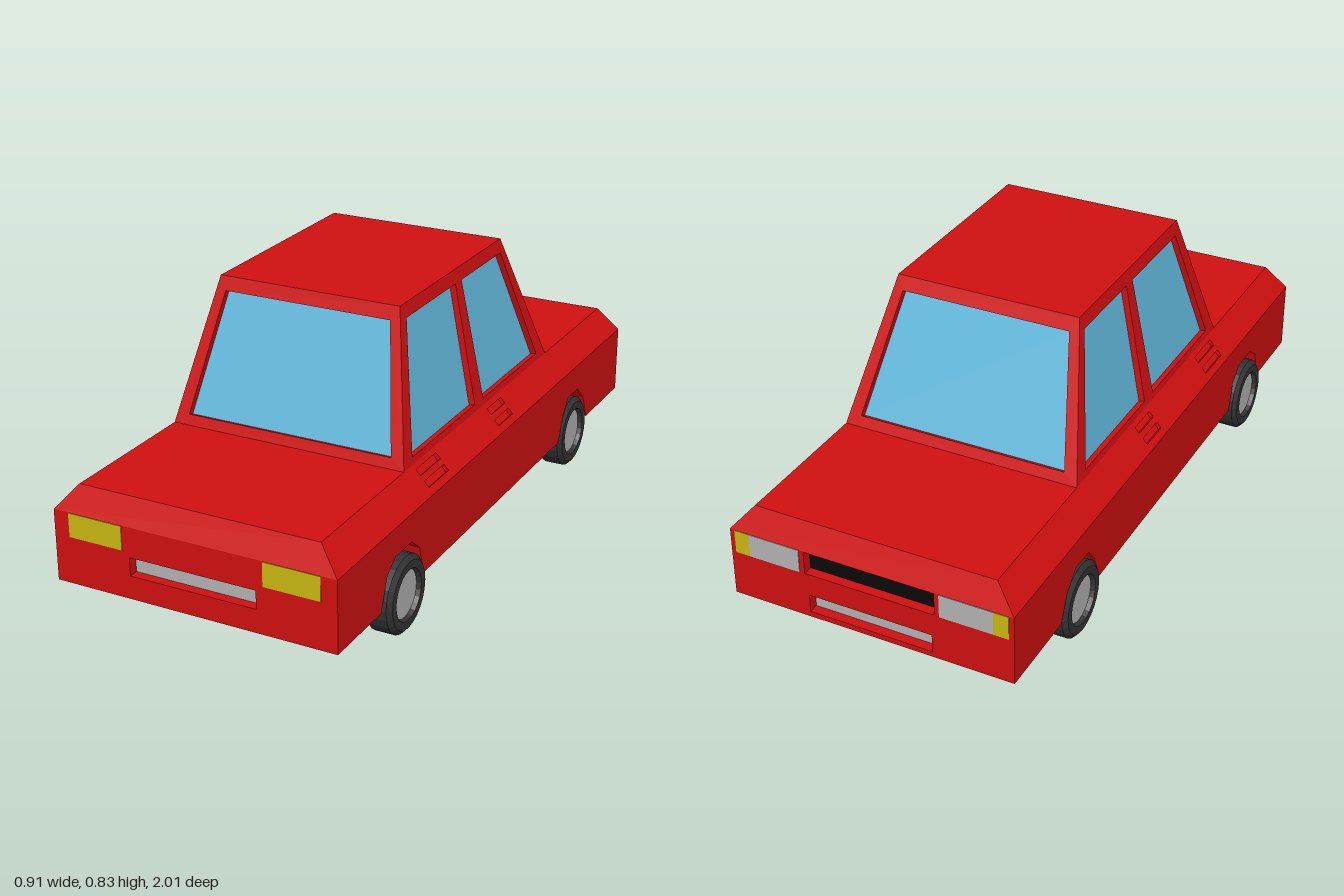
import * as THREE from 'three';

const paint = (color, flat = false) => new THREE.MeshStandardMaterial({ color, flatShading: flat });
const red = paint(0xd01010), blue = paint(0x62b8dc), black = paint(0x0a0a0a);
const yellow = paint(0xc8b810), grey = paint(0xb2b2b2), rubber = paint(0x333333, true);

// Half widths and heights of the body sections
const W = 0.435, SILL = 0.12, BELT = 0.335, DECK = 0.41, ROOF = 0.83;
const deckX = 0.37, deckZ = 0.965, roofX = 0.285;

const v = (x, y, z) => new THREE.Vector3(x, y, z);
const mix = (a, b, t) => a + (b - a) * t;

// Flat slab from corners that run anticlockwise seen from outside; each
// opening is cut through it and closed at the back with its own material
function panel(name, corners, depth = 0.01, openings = []) {
  const group = new THREE.Group();
  group.name = name;
  const o = corners[0];
  const u = corners[1].clone().sub(o).normalize();
  const n = u.clone().cross(corners[2].clone().sub(o)).normalize();
  const w = n.clone().cross(u);
  const flat = (p) => {
    const d = p.clone().sub(o);
    return new THREE.Vector2(d.dot(u), d.dot(w));
  };
  const shape = new THREE.Shape(corners.map(flat));
  for (const op of openings) shape.holes.push(new THREE.Path(op.points.map(flat)));
  const slab = new THREE.ExtrudeGeometry(shape, { depth, bevelEnabled: false });
  slab.translate(0, 0, -depth);
  const skin = new THREE.Mesh(slab, red);
  skin.name = name + 'Skin';
  group.add(skin);
  for (const op of openings) {
    const back = new THREE.ShapeGeometry(new THREE.Shape(op.points.map(flat)));
    back.translate(0, 0, 0.001 - depth);
    const mesh = new THREE.Mesh(back, op.material);
    mesh.name = op.name;
    group.add(mesh);
  }
  group.applyMatrix4(new THREE.Matrix4().makeBasis(u, w, n).setPosition(o));
  return group;
}

// Mirrors a corner loop to the other side and keeps it anticlockwise
const side = (s, pts) => (s > 0 ? pts : pts.map((p) => v(-p.x, p.y, p.z)).reverse());

// Upright rectangle on the front (s = 1) or rear (s = -1) end
const endRect = (s, x0, x1, y0, y1) =>
  [v(s * x0, y0, s), v(s * x1, y0, s), v(s * x1, y1, s), v(s * x0, y1, s)];

function box(name, material, x0, x1, y0, y1, z0, z1) {
  const mesh = new THREE.Mesh(new THREE.BoxGeometry(x1 - x0, y1 - y0, z1 - z0), material);
  mesh.position.set((x0 + x1) / 2, (y0 + y1) / 2, (z0 + z1) / 2);
  mesh.name = name;
  return mesh;
}

// Lower body: side profile with wheel channels, extruded across the width
function lowerBody() {
  const profile = [
    [-0.97, SILL], [-0.725, SILL], [-0.69, 0.2], [-0.635, 0.25], [-0.555, 0.25], [-0.515, 0.2], [-0.48, SILL],
    [0.505, SILL], [0.53, 0.21], [0.58, 0.25], [0.675, 0.25], [0.725, 0.215], [0.76, SILL],
    [0.97, SILL], [0.97, BELT], [-0.97, BELT],
  ];
  const shape = new THREE.Shape(profile.map(([z, y]) => new THREE.Vector2(-z, y)));
  const geo = new THREE.ExtrudeGeometry(shape, { depth: 2 * W, bevelEnabled: false });
  geo.translate(0, 0, -W).rotateY(Math.PI / 2);
  const mesh = new THREE.Mesh(geo, red);
  mesh.name = 'lowerBody';
  return mesh;
}

// Sloping shoulders, with two pairs of vent slots on each side, and the deck
function shoulders(car) {
  const slopeX = (y) => mix(W, deckX, (y - BELT) / (DECK - BELT));
  for (const s of [1, -1]) {
    const vents = [];
    for (const [z0, z1] of [[0.445, 0.32], [-0.03, -0.13]]) {
      for (const y of [0.352, 0.382]) {
        const a = slopeX(y), b = slopeX(y + 0.016);
        vents.push({
          name: 'ventSlot', material: red,
          points: side(s, [v(a, y, z0), v(a, y, z1), v(b, y + 0.016, z1), v(b, y + 0.016, z0)]),
        });
      }
    }
    car.add(panel('sideShoulder', side(s, [
      v(W, BELT, 1), v(W, BELT, -1), v(deckX, DECK, -deckZ), v(deckX, DECK, deckZ),
    ]), 0.012, vents));
    car.add(panel(s > 0 ? 'frontShoulder' : 'rearShoulder', [
      v(-s * W, BELT, s), v(s * W, BELT, s), v(s * deckX, DECK, s * deckZ), v(-s * deckX, DECK, s * deckZ),
    ]));
  }
  car.add(panel('deck', [
    v(-deckX, DECK, deckZ), v(deckX, DECK, deckZ), v(deckX, DECK, -deckZ), v(-deckX, DECK, -deckZ),
  ]));
}

// Cabin: four leaning walls with recessed glass, and the roof
function cabin(car) {
  const roofZ = { 1: 0.36, '-1': -0.315 };
  const rise = (y) => (y - DECK) / (ROOF - DECK);
  const wallX = (y) => mix(deckX, roofX, rise(y));
  const y0 = 0.43, y1 = 0.79;
  for (const s of [1, -1]) {
    const wallZ = (y) => mix(s * 0.5, roofZ[s], rise(y));
    const g0 = 0.44;
    car.add(panel(s > 0 ? 'windscreenFrame' : 'rearWindowFrame', [
      v(-s * deckX, DECK, s * 0.5), v(s * deckX, DECK, s * 0.5),
      v(s * roofX, ROOF, roofZ[s]), v(-s * roofX, ROOF, roofZ[s]),
    ], 0.02, [{
      name: s > 0 ? 'windscreen' : 'rearWindow', material: blue,
      points: [v(-s * 0.325, g0, wallZ(g0)), v(s * 0.325, g0, wallZ(g0)),
        v(s * 0.262, y1, wallZ(y1)), v(-s * 0.262, y1, wallZ(y1))],
    }]));
    const pane = (name, a, b, c, d) => ({
      name, material: blue,
      points: side(s, [v(wallX(y0), y0, a), v(wallX(y0), y0, b), v(wallX(y1), y1, c), v(wallX(y1), y1, d)]),
    });
    car.add(panel('cabinSide', side(s, [
      v(deckX, DECK, 0.5), v(deckX, DECK, -0.5), v(roofX, ROOF, roofZ[-1]), v(roofX, ROOF, roofZ[1]),
    ]), 0.02, [
      pane('frontDoorWindow', 0.44, 0.027, 0.02, 0.335),
      pane('rearDoorWindow', -0.032, -0.435, -0.3, -0.022),
    ]));
  }
  car.add(panel('roof', [
    v(-roofX, ROOF, roofZ[1]), v(roofX, ROOF, roofZ[1]), v(roofX, ROOF, roofZ[-1]), v(-roofX, ROOF, roofZ[-1]),
  ]));
}

// Front and rear ends with recessed plates, grille and flush lamps
function ends(car) {
  car.add(panel('frontEnd', endRect(1, -W, W, SILL, BELT), 0.03, [
    { name: 'frontPlate', material: grey, points: endRect(1, -0.195, 0.195, 0.19, 0.245) },
  ]));
  car.add(panel('rearEnd', endRect(-1, -W, W, SILL, BELT), 0.03, [
    { name: 'rearGrille', material: black, points: endRect(-1, -0.2, 0.2, 0.262, 0.332) },
    { name: 'rearPlate', material: grey, points: endRect(-1, -0.19, 0.19, 0.137, 0.192) },
  ]));
  for (const s of [1, -1]) {
    const lamp = (name, mat, a, b, z) =>
      car.add(box(name, mat, Math.min(s * a, s * b), Math.max(s * a, s * b), 0.262, 0.334, z - 0.01, z + 0.01));
    lamp('headlight', yellow, 0.217, 0.387, 0.992);
    lamp('tailLight', grey, 0.215, 0.375, -0.992);
    lamp('rearIndicator', yellow, 0.375, 0.42, -0.992);
  }
}

// Wheel: chamfered tyre with a sunken hub, outer face towards +x
function wheel() {
  const group = new THREE.Group();
  group.name = 'wheel';
  const profile = [[0, -0.03], [0.07, -0.03], [0.076, -0.042], [0.1, -0.042], [0.114, -0.03],
    [0.114, 0.03], [0.1, 0.042], [0.076, 0.042], [0.07, 0.025], [0, 0.025]];
  const tyre = new THREE.Mesh(
    new THREE.LatheGeometry(profile.map(([r, h]) => new THREE.Vector2(r, h)), 24), rubber);
  tyre.name = 'tyre';
  const hub = new THREE.Mesh(new THREE.CylinderGeometry(0.071, 0.071, 0.01, 24), grey);
  hub.name = 'hub';
  hub.position.y = 0.024;
  group.add(tyre, hub);
  group.rotation.z = -Math.PI / 2;
  return group;
}

export function createModel() {
  const model = new THREE.Group();
  model.name = 'car';
  const car = new THREE.Group();
  car.name = 'carBody';
  car.add(lowerBody());
  shoulders(car);
  cabin(car);
  ends(car);
  for (const s of [1, -1]) {
    for (const [x, z] of [[0.411, 0.63], [0.4, -0.597]]) {
      const mount = new THREE.Group();
      mount.name = z > 0 ? 'frontWheel' : 'rearWheel';
      mount.add(wheel());
      mount.position.set(s * x, 0.116, z);
      if (s < 0) mount.rotation.y = Math.PI;
      car.add(mount);
    }
  }
  // The body sits very slightly turned
  car.rotation.y = 0.0075;
  car.position.x = -0.002;
  model.add(car);
  return model;
}
